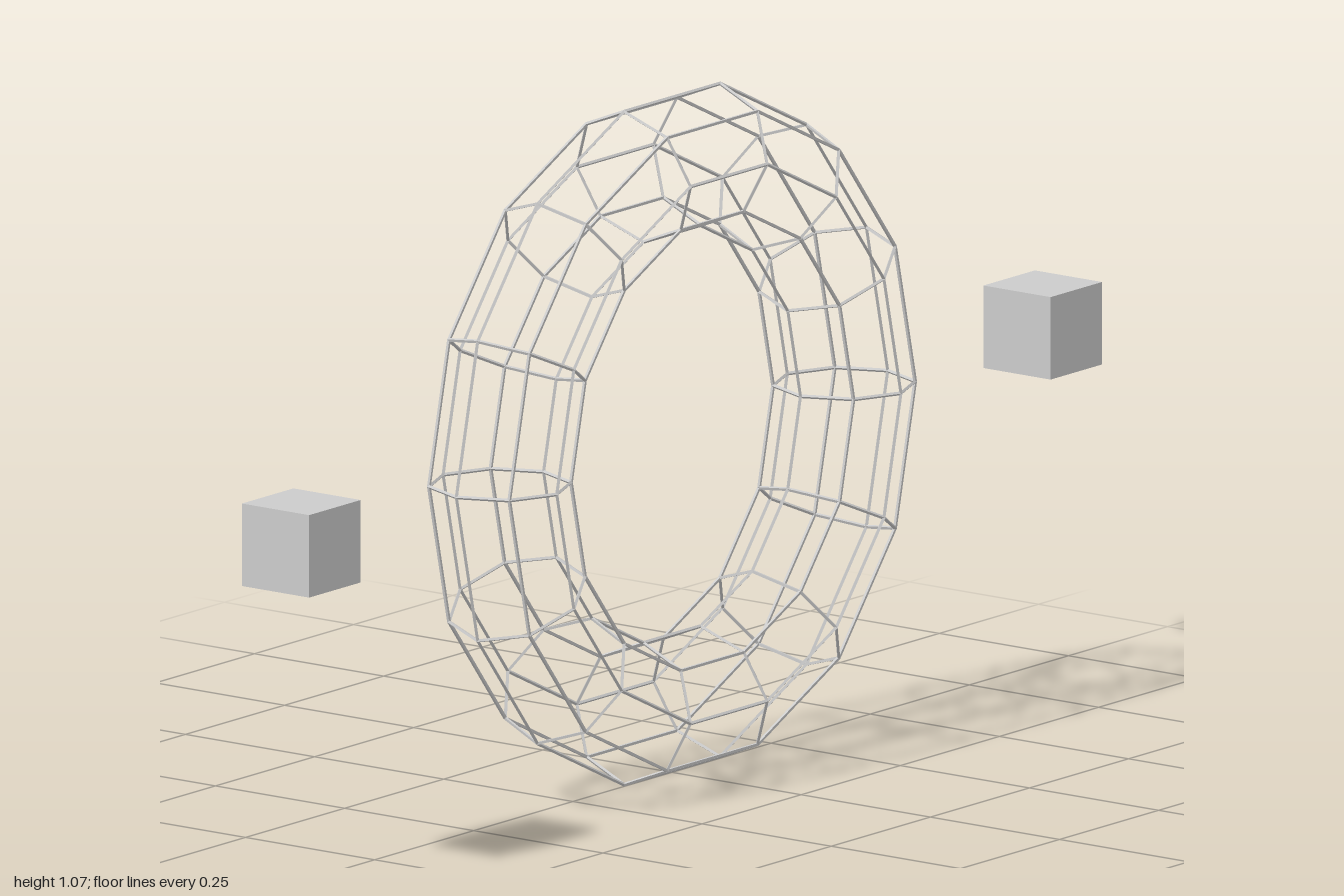
import * as THREE from 'three';

const RADIUS = 0.434, TUBE = 0.11, BAR = 0.003;
const SEGMENTS = 14, SIDES = 8, CENTRE_Y = 0.533;
const material = new THREE.MeshStandardMaterial({
  color: 0xcccccc, flatShading: true,
});

// Position and local directions at one crossing of the lattice
function node(i, j) {
  const a = (i / SEGMENTS) * Math.PI * 2, b = (j / SIDES) * Math.PI * 2;
  const outward = new THREE.Vector3(Math.cos(a), Math.sin(a), 0);
  const axis = new THREE.Vector3(0, 0, 1);
  const normal = outward.clone().multiplyScalar(Math.cos(b)).addScaledVector(axis, Math.sin(b));
  const position = outward.clone().multiplyScalar(RADIUS).addScaledVector(normal, TUBE);
  const along = new THREE.Vector3(-Math.sin(a), Math.cos(a), 0);
  const around = outward.clone().multiplyScalar(-Math.sin(b)).addScaledVector(axis, Math.cos(b));
  return { position, normal, along, around };
}

// Closed bar of diamond section, mitred at every crossing
function barLoop(name, stations) {
  const positions = [], index = [], count = stations.length;
  for (const { position, normal, side } of stations) {
    for (const [u, v] of [[1, 0], [0, 1], [-1, 0], [0, -1]]) {
      const p = position.clone().addScaledVector(normal, u * BAR).addScaledVector(side, v * BAR);
      positions.push(p.x, p.y, p.z);
    }
  }
  for (let i = 0; i < count; i++) {
    const next = (i + 1) % count;
    for (let k = 0; k < 4; k++) {
      const l = (k + 1) % 4;
      const a = i * 4 + k, b = i * 4 + l, c = next * 4 + l, d = next * 4 + k;
      index.push(a, b, c, a, c, d);
    }
  }
  const geometry = new THREE.BufferGeometry();
  geometry.setAttribute('position', new THREE.Float32BufferAttribute(positions, 3));
  geometry.setIndex(index);
  geometry.computeVertexNormals();
  const mesh = new THREE.Mesh(geometry, material);
  mesh.name = name;
  return mesh;
}

export function createModel() {
  const model = new THREE.Group();
  model.name = 'latticeRingWithCubes';

  const lattice = new THREE.Group();
  lattice.name = 'latticeRing';
  lattice.position.y = CENTRE_Y;
  model.add(lattice);

  // Long hoops running around the ring
  for (let j = 0; j < SIDES; j++) {
    const stations = Array.from({ length: SEGMENTS }, (_, i) => {
      const n = node(i, j);
      return { position: n.position, normal: n.normal, side: n.around.negate() };
    });
    lattice.add(barLoop('longHoop', stations));
  }

  // Small octagonal hoops around the tube
  for (let i = 0; i < SEGMENTS; i++) {
    const stations = Array.from({ length: SIDES }, (_, j) => {
      const n = node(i, j);
      return { position: n.position, normal: n.normal, side: n.along };
    });
    lattice.add(barLoop('crossHoop', stations));
  }

  // Floating cubes on either side
  for (const side of [-1, 1]) {
    const cube = new THREE.Mesh(new THREE.BoxGeometry(0.13, 0.13, 0.13), material);
    cube.name = side > 0 ? 'leftCube' : 'rightCube';
    cube.position.set(side * 0.935, CENTRE_Y, 0);
    model.add(cube);
  }
  return model;
}
